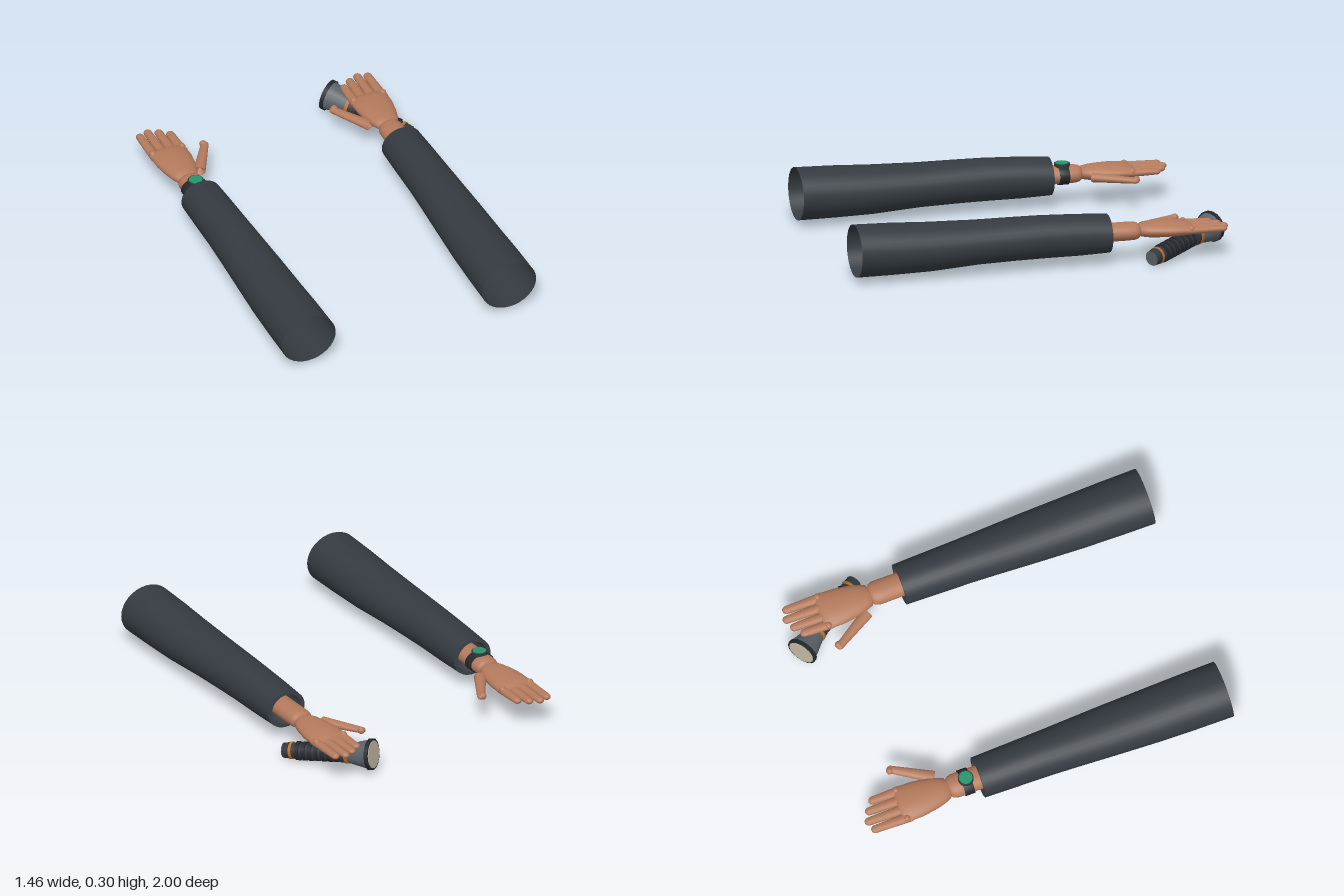
import * as THREE from 'three';

const mat = (name, color, extra = {}) => {
  const m = new THREE.MeshStandardMaterial({ color, ...extra });
  m.name = name;
  return m;
};

// Skin of elliptical rings [z, centreY, radiusX, radiusY], running towards -z
function loft(rings, sides = 24) {
  const pos = [], idx = [];
  rings.forEach(([z, y, rx, ry]) => {
    for (let j = 0; j < sides; j++) {
      const a = (j / sides) * Math.PI * 2;
      pos.push(Math.cos(a) * rx, y + Math.sin(a) * ry, z);
    }
  });
  for (let i = 0; i < rings.length - 1; i++) {
    for (let j = 0; j < sides; j++) {
      const k = (j + 1) % sides;
      const a = i * sides + j, b = i * sides + k, c = b + sides, d = a + sides;
      idx.push(a, d, b, b, d, c);
    }
  }
  const g = new THREE.BufferGeometry();
  g.setAttribute('position', new THREE.Float32BufferAttribute(pos, 3));
  g.setIndex(idx);
  g.computeVertexNormals();
  return g;
}

// Round-ended tapered finger from z = 0 to z = -length
function fingerGeometry(length, r0, r1, flat) {
  const rings = [];
  const add = (z, r) => rings.push([z, 0, r, r * flat]);
  for (let i = 0; i <= 4; i++) {
    const a = (i / 4) * Math.PI / 2;
    add(-r0 * (1 - Math.sin(a)), Math.max(0.0005, r0 * Math.sin(a)));
  }
  for (let i = 0; i <= 5; i++) {
    const a = (i / 5) * Math.PI / 2;
    add(-length + r1 * (1 - Math.sin(a)), Math.max(0.0005, r1 * Math.cos(a)));
  }
  return loft(rings, 16);
}

export function createModel() {
  const model = new THREE.Group();
  model.name = 'pairOfArms';

  const skin = mat('skin', 0xb47a5c);
  const cloth = mat('sleeveCloth', 0x343a40, { side: THREE.DoubleSide });
  const hemCloth = mat('hemCloth', 0x3c4248, { side: THREE.DoubleSide });
  const black = mat('blackRubber', 0x24282d);
  const grip = mat('gripMetal', 0x33383e);
  const steel = mat('greyMetal', 0x5c6369);
  const orange = mat('orangeRing', 0xb8722c);
  const glass = mat('lensGlass', 0xbcb29c);
  const green = mat('watchGreen', 0x22966a);

  const add = (parent, name, geo, material, x = 0, y = 0, z = 0) => {
    const m = new THREE.Mesh(geo, material);
    m.name = name;
    m.position.set(x, y, z);
    parent.add(m);
    return m;
  };

  // s is the side the thumb points to
  function makeArm(name, x, s) {
    const arm = new THREE.Group();
    arm.name = name;
    arm.position.x = x;
    model.add(arm);

    // Sleeve, open at both ends, with a turned-in hem
    add(arm, 'sleeve', loft([
      [1, 0.174, 0.153, 0.137], [0.8, 0.172, 0.151, 0.134], [0.6, 0.169, 0.146, 0.127],
      [0.35, 0.174, 0.137, 0.115], [0.15, 0.176, 0.127, 0.113], [0, 0.176, 0.12, 0.112],
      [-0.2, 0.172, 0.115, 0.108], [-0.355, 0.169, 0.111, 0.1]], 32), cloth);
    add(arm, 'cuffEdge', loft([[-0.355, 0.169, 0.111, 0.1], [-0.355, 0.169, 0.088, 0.083]], 32), hemCloth);
    add(arm, 'cuffLining', loft([[-0.25, 0.17, 0.09, 0.085], [-0.355, 0.169, 0.088, 0.083]], 32), hemCloth);

    // Wrist
    add(arm, 'wrist', loft([
      [-0.22, 0.172, 0.001, 0.001], [-0.222, 0.172, 0.03, 0.022], [-0.235, 0.172, 0.055, 0.04],
      [-0.26, 0.172, 0.064, 0.048], [-0.45, 0.172, 0.066, 0.048], [-0.49, 0.172, 0.065, 0.047],
      [-0.51, 0.172, 0.058, 0.042], [-0.523, 0.172, 0.042, 0.03], [-0.527, 0.172, 0.001, 0.001]]), skin);

    // Palm
    add(arm, 'palm', loft([
      [-0.512, 0.174, 0.001, 0.001], [-0.515, 0.174, 0.035, 0.022], [-0.525, 0.174, 0.058, 0.032],
      [-0.56, 0.174, 0.073, 0.038], [-0.61, 0.174, 0.087, 0.041], [-0.69, 0.174, 0.1, 0.041],
      [-0.75, 0.173, 0.101, 0.036], [-0.785, 0.172, 0.097, 0.028], [-0.8, 0.172, 0.085, 0.016],
      [-0.804, 0.172, 0.001, 0.001]]), skin);

    // Fingers and knuckles: [offset, tip z]
    [[-0.077, -0.973], [-0.026, -0.99], [0.026, -0.968], [0.075, -0.931]].forEach(([o, tip], i) => {
      const base = -0.75;
      add(arm, 'finger' + (i + 1), fingerGeometry(base - tip, 0.027, 0.022, 0.75), skin, s * o, 0.172, base);
      add(arm, 'knuckle' + (i + 1), new THREE.SphereGeometry(0.02, 14, 10), skin, s * o * 1.08, 0.18, -0.778);
    });

    // Thumb
    const thumb = add(arm, 'thumb', fingerGeometry(0.25, 0.032, 0.021, 0.75), skin, s * 0.085, 0.167, -0.565);
    thumb.rotation.y = -s * 0.54;
    add(arm, 'thumbJoint', new THREE.SphereGeometry(0.019, 14, 10), skin, s * 0.196, 0.17, -0.768);
    return arm;
  }

  const watchArm = makeArm('rightArm', -0.578, 1);
  makeArm('leftArm', 0.556, -1);

  // Wristwatch
  const watch = new THREE.Group();
  watch.name = 'watch';
  watch.position.z = -0.423;
  watchArm.add(watch);
  add(watch, 'watchBand', loft([
    [0.026, 0.172, 0.064, 0.046], [0.026, 0.172, 0.072, 0.053],
    [-0.026, 0.172, 0.072, 0.053], [-0.026, 0.172, 0.064, 0.046]], 28), black);
  add(watch, 'watchCase', new THREE.CylinderGeometry(0.041, 0.041, 0.026, 24), grip, 0, 0.221, 0);
  add(watch, 'watchFace', new THREE.CylinderGeometry(0.035, 0.035, 0.004, 24), green, 0, 0.235, 0);

  // Torch, built along +y from tail to lens, then aimed
  const torch = new THREE.Group();
  torch.name = 'torch';
  const tail = new THREE.Vector3(0.694, 0.055, -0.553);
  const aim = new THREE.Vector3(0.405, 0.123, -0.955).sub(tail);
  torch.position.copy(tail);
  torch.quaternion.setFromUnitVectors(new THREE.Vector3(0, 1, 0), aim.normalize());
  model.add(torch);
  const section = (name, from, to, r0, r1, material) =>
    add(torch, name, new THREE.CylinderGeometry(r1, r0, to - from, 16), material, 0, (from + to) / 2, 0);

  section('tailCap', 0, 0.038, 0.04, 0.043, grip);
  section('tailDisc', -0.003, 0.002, 0.038, 0.038, steel);
  section('tailRing', 0.038, 0.052, 0.046, 0.046, orange);
  section('torchBody', 0.05, 0.36, 0.042, 0.046, grip);
  for (let i = 0; i < 7; i++) {
    const t = 0.075 + i * 0.036;
    section('gripRib' + (i + 1), t, t + 0.02, 0.05, 0.05, black);
  }
  section('collar', 0.325, 0.352, 0.05, 0.052, grip);
  section('headRing', 0.352, 0.37, 0.055, 0.055, orange);
  section('torchHead', 0.37, 0.484, 0.051, 0.078, steel);
  section('lensRim', 0.48, 0.5, 0.083, 0.083, black);
  section('lens', 0.497, 0.503, 0.073, 0.073, glass);

  return model;
}
